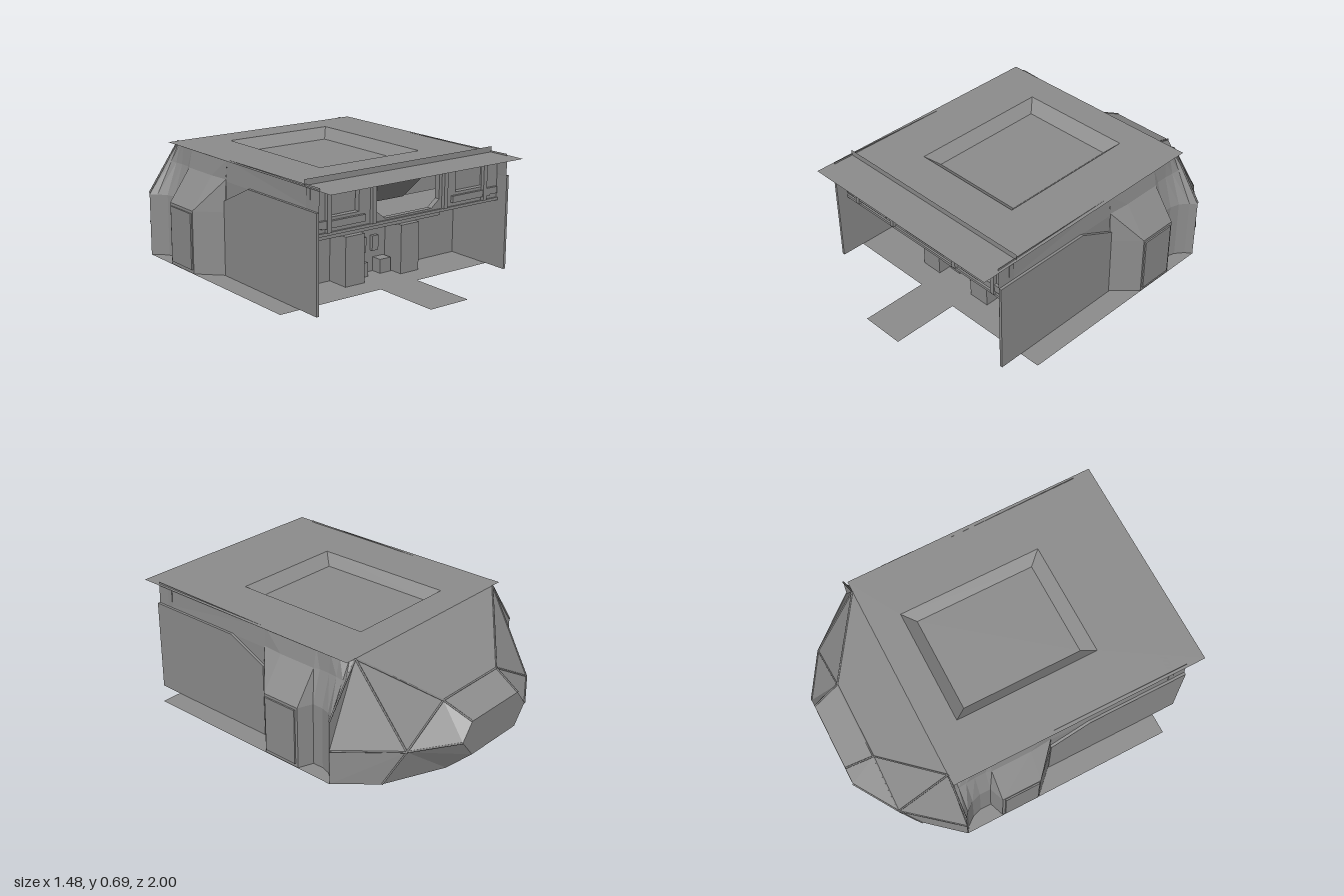
import * as THREE from 'three';

const grey = new THREE.MeshStandardMaterial({ color: 0x8c8c8c, side: THREE.DoubleSide });
grey.name = 'hull grey';
const greyInner = new THREE.MeshStandardMaterial({ color: 0x8c8c8c });
greyInner.name = 'lining grey';

const CENTRE = new THREE.Vector3(0, 0.33, -0.1);

// Flat polygons, each fanned into triangles and turned away from the centre
function facets(polys, centre = CENTRE) {
  const pos = [];
  for (const poly of polys) {
    const v = poly.map(p => new THREE.Vector3(...p));
    for (let i = 1; i < v.length - 1; i++) {
      const [a, b, c] = [v[0], v[i], v[i + 1]];
      const n = b.clone().sub(a).cross(c.clone().sub(a));
      const mid = a.clone().add(b).add(c).divideScalar(3).sub(centre);
      for (const p of n.dot(mid) >= 0 ? [a, b, c] : [a, c, b]) pos.push(p.x, p.y, p.z);
    }
  }
  const g = new THREE.BufferGeometry();
  g.setAttribute('position', new THREE.Float32BufferAttribute(pos, 3));
  g.computeVertexNormals();
  return g;
}

const flip = p => [-p[0], p[1], p[2]];
const rect = (w, z0, z1, y) => [[w, y, z0], [w, y, z1], [-w, y, z1], [-w, y, z0]];
const ringFaces = (a, b) => a.map((p, i) => [p, a[(i + 1) % a.length], b[(i + 1) % a.length], b[i]]);

// Horizontal sheet with one rectangular hole; outline given as [x, z]
function sheet(outline, hole, y, up) {
  const s = new THREE.Shape(outline.map(([x, z]) => new THREE.Vector2(x, up ? -z : z)));
  s.holes.push(new THREE.Path(hole.map(p => new THREE.Vector2(p[0], up ? -p[2] : p[2]))));
  const g = new THREE.ShapeGeometry(s);
  g.rotateX(up ? -Math.PI / 2 : Math.PI / 2);
  g.translate(0, y, 0);
  return g;
}

export function createModel() {
  const model = new THREE.Group();
  const add = (name, geo, mat = grey) => {
    const m = new THREE.Mesh(geo, mat);
    m.name = name;
    model.add(m);
    return m;
  };
  const box = (name, x0, x1, y0, y1, z0, z1) => {
    const g = new THREE.BoxGeometry(x1 - x0, y1 - y0, z1 - z0);
    g.translate((x0 + x1) / 2, (y0 + y1) / 2, (z0 + z1) / 2);
    return add(name, g);
  };

  // Roof with a sunken hatch
  const pitTop = rect(0.32, -0.405, 0.395, 0.66), pitLow = rect(0.265, -0.34, 0.33, 0.605);
  add('roof', sheet([[-0.61, -0.57], [0.61, -0.57], [0.61, 0.86], [-0.61, 0.86]], pitTop, 0.66, true));
  add('roofHatch', facets([...ringFaces(pitTop, pitLow), pitLow], new THREE.Vector3(0, -5, 0)));

  // Floor with tongue and a shallow tray below
  const half = [[0.12, 1], [0.12, 0.63], [0.73, 0.63], [0.735, -0.57], [0.57, -0.76], [0.25, -0.9]];
  const trayTop = rect(0.32, -0.51, 0.21, 0.055), trayLow = rect(0.27, -0.45, 0.15, 0);
  const outline = [...half, ...half.map(([x, z]) => [-x, z]).reverse()];
  add('floor', sheet(outline, trayTop, 0.055, false));
  add('floorTray', facets([...ringFaces(trayTop, trayLow), trayLow]));

  // Faceted rear hull
  const A = [0.55, 0.66, -0.57], B = [0.22, 0.4, -0.845], C = [0.5, 0.24, -0.85],
    D = [0.735, 0.4, -0.57], E = [0.735, 0.24, -0.57], F = [0.735, 0.055, -0.57],
    G = [0.57, 0.055, -0.76], H = [0.25, 0.055, -0.9],
    I = [0.19, 0.33, -1], J = [0.26, 0.24, -1], K = [0.18, 0.14, -1];
  const sideFaces = [[A, B, C], [A, C, E, D], [C, E, F, G], [B, I, J, C], [C, J, K, H], [C, H, G]];
  const midFaces = [[A, flip(A), flip(B), B], [B, flip(B), flip(I), I],
    [I, J, K, flip(K), flip(J), flip(I)], [K, flip(K), flip(H), H]];
  add('rearHull', facets([...sideFaces, ...sideFaces.map(f => f.map(flip)), ...midFaces]));

  // Thin ribs on the seams between hull plates
  const rib = (a, b) => add('seamRib', new THREE.TubeGeometry(
    new THREE.LineCurve3(new THREE.Vector3(...a), new THREE.Vector3(...b)), 1, 0.005, 5));
  for (const [a, b] of [[A, B], [A, C], [B, C], [C, E], [C, G], [C, J], [B, I], [A, D]]) {
    rib(a, b);
    rib(flip(a), flip(b));
  }
  rib(B, flip(B));

  // Side bulges: sections [z, outer x, shoulder x, top x]
  const sections = [
    [-0.57, 0.735, 0.62, 0.55], [-0.545, 0.70, 0.61, 0.56], [-0.5, 0.665, 0.605, 0.58],
    [-0.45, 0.65, 0.6, 0.59], [-0.39, 0.65, 0.6, 0.59], [-0.36, 0.73, 0.61, 0.59],
    [-0.14, 0.73, 0.61, 0.59], [-0.02, 0.61, 0.6, 0.59]];
  const ring = ([z, b, m, t]) => [[b, 0.055, z], [b, 0.39, z], [m, 0.56, z], [t, 0.66, z]];
  const bulge = [];
  for (let i = 0; i < sections.length - 1; i++) {
    const p = ring(sections[i]), q = ring(sections[i + 1]);
    for (let j = 0; j < 3; j++) bulge.push([p[j], p[j + 1], q[j + 1], q[j]]);
  }
  add('leftBulge', facets(bulge));
  add('rightBulge', facets(bulge.map(f => f.map(flip))));

  // Side walls, raised panels and pillar plates
  for (const s of [1, -1]) {
    const wall = [[s * 0.6, 0.055, 0.76], [s * 0.6, 0.55, 0.76], [s * 0.6, 0.55, -0.02], [s * 0.6, 0.055, -0.02]];
    const upper = [[s * 0.6, 0.55, 0.76], [s * 0.595, 0.67, 0.76], [s * 0.59, 0.66, -0.02], [s * 0.6, 0.55, -0.02]];
    add('sideWall', facets([wall, upper]));
    const shape = new THREE.Shape([[-0.76, 0.055], [0.02, 0.055], [0.02, 0.45], [-0.2, 0.555], [-0.76, 0.555]]
      .map(p => new THREE.Vector2(...p)));
    const g = new THREE.ExtrudeGeometry(shape, { depth: 0.014, bevelEnabled: false });
    g.rotateY(Math.PI / 2);
    g.translate(s > 0 ? 0.601 : -0.615, 0, 0);
    add('sidePanel', g);
    const x = s * 0.734;
    box('pillarPlate', x - 0.004, x + 0.004, 0.075, 0.375, -0.345, -0.15);
  }

  // Front bulkhead with two windows and a middle opening
  const path = pts => pts.map(p => new THREE.Vector2(...p));
  const face = new THREE.Shape(path([[-0.6, 0.43], [0.6, 0.43], [0.6, 0.66], [-0.6, 0.66]]));
  face.holes.push(new THREE.Path(path([[-0.15, 0.44], [0.15, 0.44], [0.2, 0.48], [0.2, 0.61],
    [0.15, 0.655], [-0.15, 0.655], [-0.2, 0.61], [-0.2, 0.48]])));
  for (const s of [1, -1]) {
    const [l, r] = s > 0 ? [0.3, 0.54] : [-0.54, -0.3];
    const c = (l + r) / 2 - s * 0.01;
    face.holes.push(new THREE.Path(path([[c - 0.1, 0.5], [c + 0.1, 0.5], [c + 0.1, 0.61], [c - 0.1, 0.61]])));
    box('windowPane', c - 0.11, c + 0.11, 0.49, 0.62, 0.645, 0.655);
    box('windowSill', c - 0.13, c + 0.13, 0.45, 0.485, 0.69, 0.705);
    box('windowVent', c - 0.06, c + 0.06, 0.625, 0.65, 0.69, 0.702);
    for (const x of [0.23, 0.5]) box('bulkheadPost', s * x - 0.012, s * x + 0.012, 0.43, 0.66, 0.69, 0.71);
    box('outerVent', s * 0.55 - 0.04, s * 0.55 + 0.04, 0.455, 0.49, 0.69, 0.705);
  }
  const bulkhead = new THREE.ExtrudeGeometry(face, { depth: 0.03, bevelEnabled: false });
  bulkhead.translate(0, 0, 0.66);
  add('frontBulkhead', bulkhead);
  add('middleRecess', facets([[[-0.2, 0.44, 0.42], [0.2, 0.44, 0.42], [0.2, 0.66, 0.66], [-0.2, 0.66, 0.66]]],
    new THREE.Vector3(0, 2, 0)));

  // Shelf, back wall, beam and console of the open bay
  box('shelf', -0.6, 0.6, 0.415, 0.43, 0.37, 0.7);
  box('bayBackWall', -0.6, 0.6, 0.055, 0.42, 0.36, 0.37);
  box('bayBeam', -0.41, 0.41, 0.315, 0.405, 0.37, 0.47);
  for (const s of [1, -1]) {
    box('consoleColumn', s * 0.18 - 0.06, s * 0.18 + 0.06, 0.055, 0.315, 0.37, 0.5);
    box('consoleBlock', s * 0.075 - 0.035, s * 0.075 + 0.035, 0.055, 0.13, 0.37, 0.43);
    box('consoleBracket', s * 0.04 - 0.02, s * 0.04 + 0.02, 0.17, 0.25, 0.37, 0.39);
  }

  // Visor lining, visible from below and in front
  const above = new THREE.Vector3(0, 5, 0.3);
  add('visorLining', facets([rect(0.6, 0.645, 0.76, 0.69)], above), greyInner);
  add('visorBack', facets([[[-0.6, 0.66, 0.645], [0.6, 0.66, 0.645], [0.6, 0.69, 0.645], [-0.6, 0.69, 0.645]]]),
    greyInner);

  return model;
}
